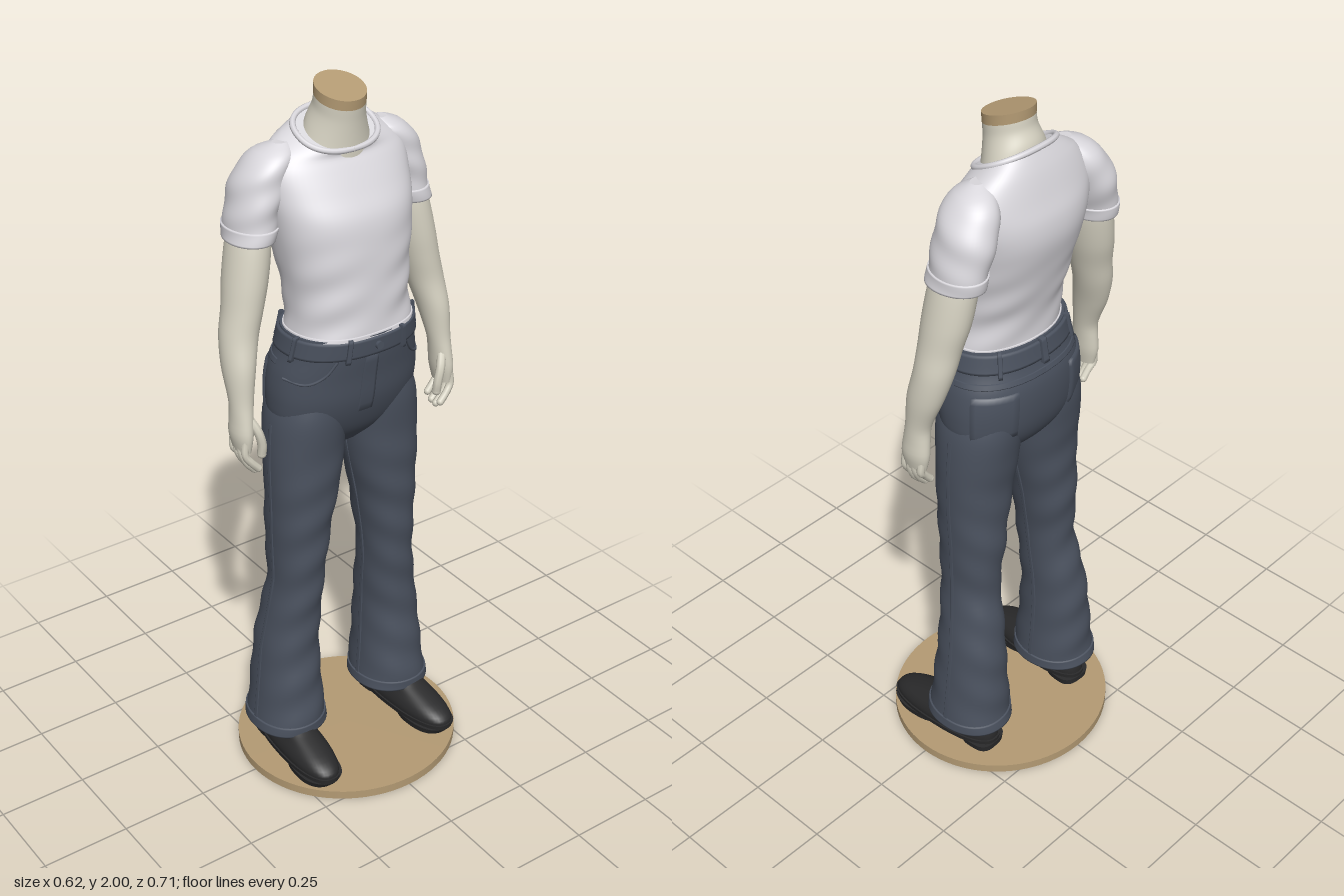
import * as THREE from 'three';

const mat = (name, color) => Object.assign(new THREE.MeshStandardMaterial({ color }), { name });

// Smooth surface through rings [y, cx, cz, rx, rz, tilt], listed from the bottom up
function surface(rings, power = 2, wrinkle = () => 0) {
  const params = (y) => {
    let i = 0;
    while (i < rings.length - 2 && y > rings[i + 1][0]) i++;
    const a = rings[i], b = rings[i + 1], h = b[0] - a[0];
    const u = THREE.MathUtils.clamp((y - a[0]) / h, 0, 1);
    const slope = (k, c) => {
      const p = rings[Math.max(k - 1, 0)], n = rings[Math.min(k + 1, rings.length - 1)];
      return ((n[c] ?? 0) - (p[c] ?? 0)) / (n[0] - p[0]);
    };
    return [1, 2, 3, 4, 5].map((c) => {
      const u2 = u * u, u3 = u2 * u;
      return (2 * u3 - 3 * u2 + 1) * (a[c] ?? 0) + (u3 - 2 * u2 + u) * h * slope(i, c)
        + (3 * u2 - 2 * u3) * (b[c] ?? 0) + (u3 - u2) * h * slope(i + 1, c);
    });
  };
  const round = (v) => Math.sign(v) * Math.abs(v) ** (2 / power);
  const point = (y, t, off = 0) => {
    const [cx, cz, rx, rz, tilt] = params(y), d = off + wrinkle(y, t);
    const x = (rx + d) * round(Math.cos(t));
    return new THREE.Vector3(cx + x, y + tilt * x, cz + (rz + d) * round(Math.sin(t)));
  };
  return { point, y0: rings[0][0], y1: rings[rings.length - 1][0] };
}

function gridGeometry(rows, closed) {
  const w = rows[0].length, pos = rows.flat().flatMap((p) => p.toArray()), idx = [];
  for (let i = 0; i < rows.length - 1; i++) {
    for (let j = 0; j < (closed ? w : w - 1); j++) {
      const k = (j + 1) % w, a = i * w + j, b = i * w + k;
      idx.push(a, a + w, b, b, a + w, b + w);
    }
  }
  if (closed === 'capped') {
    for (const [row, top] of [[rows[0], false], [rows[rows.length - 1], true]]) {
      const c = new THREE.Vector3(), s = pos.length / 3;
      row.forEach((p) => { c.addScaledVector(p, 1 / w); pos.push(...p.toArray()); });
      pos.push(...c.toArray());
      for (let j = 0; j < w; j++) {
        const a = s + j, b = s + (j + 1) % w;
        idx.push(s + w, ...(top ? [b, a] : [a, b]));
      }
    }
  }
  const g = new THREE.BufferGeometry();
  g.setAttribute('position', new THREE.Float32BufferAttribute(pos, 3));
  g.setIndex(idx);
  g.computeVertexNormals();
  return g;
}

function solid(s, steps = 24, sides = 48) {
  const rows = [];
  for (let i = 0; i <= steps; i++) {
    const y = s.y0 + (s.y1 - s.y0) * i / steps;
    rows.push(Array.from({ length: sides }, (_, j) => s.point(y, j / sides * Math.PI * 2)));
  }
  return gridGeometry(rows, 'capped');
}

// Raised strip of cloth lying on a surface, with its border turned in
function patch(s, y0, y1, t0, t1, off = 0.005) {
  const full = t1 - t0 > 6.28, nx = full ? 48 : 10, ny = 10, rows = [];
  const f = (i, n) => THREE.MathUtils.clamp((i - 1) / (n - 2), 0, 1);
  for (let i = 0; i <= ny; i++) {
    const row = [];
    for (let j = 0; j < (full ? nx : nx + 1); j++) {
      const edge = i === 0 || i === ny || (!full && (j === 0 || j === nx));
      const t = full ? t0 + (t1 - t0) * j / nx : t0 + (t1 - t0) * f(j, nx);
      row.push(s.point(y0 + (y1 - y0) * f(i, ny), t, edge ? -0.004 : off));
    }
    rows.push(row);
  }
  return gridGeometry(rows, full);
}

const tube = (pts, r, n = 16) => new THREE.TubeGeometry(
  new THREE.CatmullRomCurve3(pts.map((p) => (p.isVector3 ? p : new THREE.Vector3(...p)))), n, r, 8);

export function createModel() {
  const model = new THREE.Group();
  const tan = mat('tan', 0xb49b74), skin = mat('pale skin', 0xd6d2c2), shirt = mat('white cotton', 0xd9d7dc);
  const denim = mat('blue denim', 0x4a515e), leather = mat('black leather', 0x2a2a2b);
  const add = (name, geo, m, parent = model) => {
    const mesh = new THREE.Mesh(geo, m);
    mesh.name = name;
    parent.add(mesh);
    return mesh;
  };
  const PI = Math.PI, TAU = PI * 2;

  // Stand
  const stand = add('standDisc', new THREE.CylinderGeometry(0.31, 0.31, 0.025, 72), tan);
  stand.position.y = 0.0125;
  stand.scale.z = 1.04;

  // Shirt body, collar and hem
  const torso = surface([
    [1.35, 0.003, 0, 0.132, 0.176], [1.42, 0, 0, 0.13, 0.167], [1.5, -0.01, 0, 0.136, 0.172],
    [1.6, -0.025, 0, 0.145, 0.188], [1.68, -0.04, 0, 0.148, 0.2], [1.74, -0.055, 0, 0.131, 0.208],
    [1.8, -0.064, 0, 0.104, 0.205], [1.845, -0.06, 0, 0.086, 0.17, -0.25], [1.872, -0.047, 0, 0.078, 0.115, -0.48],
  ], 2.3, (y, t) => 0.003 * Math.sin(y * 60 + 3 * t) * Math.sin(t * 2) * THREE.MathUtils.smoothstep(1.7 - y, 0, 0.25));
  add('shirtBody', solid(torso, 44, 64), shirt);
  add('shirtHem', patch(torso, 1.355, 1.375, 0, TAU, 0.003), shirt);
  add('shirtCollar', tube(Array.from({ length: 25 }, (_, i) => torso.point(1.872, i / 24 * TAU, -0.002)), 0.008, 64), shirt);

  // Neck and its cut top
  const neck = surface([
    [1.83, -0.045, 0, 0.075, 0.1, -0.48], [1.88, -0.04, 0, 0.071, 0.083, -0.46],
    [1.925, -0.031, 0, 0.065, 0.068, -0.36], [1.956, -0.027, 0, 0.065, 0.065, -0.28],
  ]);
  add('neck', solid(neck), skin);
  add('neckCap', solid(surface([[1.956, -0.027, 0, 0.0655, 0.0655, -0.28], [1.982, -0.026, 0, 0.067, 0.065, -0.28]]), 2), tan);

  // Trouser seat, waistband and fly
  const seat = surface([
    [1.0, -0.03, 0, 0.04, 0.06], [1.05, -0.032, 0, 0.09, 0.15], [1.1, -0.032, 0, 0.118, 0.205],
    [1.17, -0.027, 0, 0.137, 0.217], [1.25, -0.021, 0, 0.143, 0.21], [1.31, -0.008, 0, 0.14, 0.193], [1.37, 0, 0, 0.137, 0.181],
  ], 2.25);
  add('trouserSeat', solid(seat, 30, 64), denim);
  add('waistband', patch(seat, 1.315, 1.365, 0, TAU, 0.006), denim);
  add('fly', patch(seat, 1.14, 1.315, -0.02, 0.14, 0.004), denim);
  const button = add('waistButton', new THREE.CylinderGeometry(0.011, 0.011, 0.008, 16), denim);
  button.position.set(0.146, 1.342, 0);
  button.rotation.z = PI / 2;
  for (const t of [0.4, 1.35, 2.45, PI, -0.4, -1.35, -2.45]) {
    add('beltLoop', patch(seat, 1.305, 1.372, t - 0.035, t + 0.035, 0.013), denim);
  }

  for (const s of [1, -1]) {
    const side = new THREE.Group();
    side.name = s > 0 ? 'leftSide' : 'rightSide';
    model.add(side);
    const rings = (list) => list.map(([y, x, z, ...r]) => [y, x, z * s, ...r]);
    const strip = (surf, y0, y1, a, b, off) => patch(surf, y0, y1, s > 0 ? a : -b, s > 0 ? b : -a, off);

    // Sleeve
    const sleeve = surface(rings([
      [1.625, -0.08, 0.243, 0.078, 0.061], [1.7, -0.085, 0.227, 0.084, 0.064], [1.76, -0.085, 0.207, 0.083, 0.07],
      [1.81, -0.079, 0.188, 0.072, 0.062], [1.842, -0.072, 0.168, 0.052, 0.046], [1.86, -0.068, 0.15, 0.02, 0.02],
    ]), 2, (y, t) => 0.002 * Math.sin(y * 70 + 2 * t * s));
    add('sleeve', solid(sleeve, 26), shirt, side);
    add('sleeveCuff', patch(sleeve, 1.625, 1.66, 0, TAU, 0.004), shirt, side);

    // Arm, palm and fingers
    add('arm', solid(surface(rings([
      [1.075, -0.008, 0.327, 0.036, 0.018], [1.12, -0.01, 0.327, 0.044, 0.027], [1.16, -0.012, 0.324, 0.041, 0.028],
      [1.21, -0.016, 0.32, 0.037, 0.031], [1.3, -0.036, 0.312, 0.052, 0.042], [1.38, -0.054, 0.297, 0.056, 0.05],
      [1.45, -0.06, 0.28, 0.06, 0.053], [1.52, -0.068, 0.265, 0.067, 0.057], [1.6, -0.075, 0.25, 0.068, 0.056], [1.66, -0.08, 0.24, 0.064, 0.05],
    ])), 40, 32), skin, side);
    const digit = (name, pts, r) => {
      add(name, tube(pts.map(([x, y, z]) => [x, y, z * s]), r), skin, side);
      const [x, y, z] = pts[pts.length - 1];
      add(name + 'Tip', new THREE.SphereGeometry(r, 10, 8), skin, side).position.set(x, y, z * s);
    };
    for (let i = 0; i < 4; i++) {
      const x = -0.037 + i * 0.019, drop = [0.02, 0.004, 0, 0.012][i];
      digit('finger', [[x, 1.11, 0.333], [x + 0.002, 1.07, 0.336], [x + 0.005, 1.035 + drop, 0.322], [x + 0.006, 1.01 + drop, 0.3]], 0.0105);
    }
    digit('thumb', [[0.008, 1.17, 0.315], [0.026, 1.13, 0.298], [0.028, 1.09, 0.288], [0.024, 1.06, 0.287]], 0.0125);

    // Flared trouser leg with seams and hem
    const leg = surface(rings([
      [0.115, -0.048, 0.18, 0.121, 0.107], [0.25, -0.05, 0.178, 0.111, 0.094], [0.4, -0.05, 0.172, 0.099, 0.084],
      [0.5, -0.04, 0.162, 0.092, 0.078], [0.6, -0.029, 0.153, 0.087, 0.073], [0.7, -0.03, 0.147, 0.094, 0.08],
      [0.8, -0.028, 0.14, 0.097, 0.089], [0.92, -0.025, 0.128, 0.101, 0.103], [1.02, -0.029, 0.121, 0.108, 0.109],
      [1.12, -0.03, 0.113, 0.118, 0.106], [1.2, -0.03, 0.1, 0.115, 0.09],
    ]), 2.15, (y, t) => 0.003 * Math.sin(y * 48 + 2 * t * s) * Math.cos(t) * THREE.MathUtils.smoothstep(1.1 - y, 0, 0.3));
    add('trouserLeg', solid(leg, 60), denim, side);
    add('trouserHem', patch(leg, 0.115, 0.145, 0, TAU, 0.004), denim, side);
    add('outerSeam', strip(leg, 0.14, 1.1, PI / 2 - 0.04, PI / 2 + 0.04, 0.003), denim, side);
    add('innerSeam', strip(leg, 0.14, 0.98, -PI / 2 - 0.04, -PI / 2 + 0.04, 0.003), denim, side);

    // Pockets
    add('backPocket', strip(seat, 1.12, 1.255, 1.95, 2.72, 0.006), denim, side);
    add('backYoke', strip(seat, 1.275, 1.29, 1.65, PI, 0.003), denim, side);
    add('frontPocketEdge', tube([[1.312, 0.55], [1.27, 0.68], [1.245, 0.95], [1.25, 1.4]]
      .map(([y, t]) => seat.point(y, t * s, 0.001)), 0.004), denim, side);

    // Shoe with sole, heel and welt
    const shoe = new THREE.Group();
    shoe.name = 'shoe';
    shoe.position.z = 0.192 * s;
    shoe.rotation.y = -0.06 * s;
    side.add(shoe);
    add('shoeUpper', solid(surface([
      [0.05, 0.034, 0, 0.183, 0.061], [0.07, 0.033, 0, 0.182, 0.063], [0.09, 0.02, 0, 0.165, 0.058],
      [0.105, 0.003, 0, 0.138, 0.051], [0.13, -0.03, 0, 0.095, 0.045], [0.16, -0.045, 0, 0.08, 0.042],
    ], 2.4), 16), leather, shoe);
    add('shoeSole', solid(surface([[0.042, 0.034, 0, 0.186, 0.064], [0.058, 0.034, 0, 0.188, 0.067]], 2.4), 2), leather, shoe);
    add('foreSole', solid(surface([[0.024, 0.115, 0, 0.09, 0.06], [0.045, 0.118, 0, 0.1, 0.064]], 2.4), 2), leather, shoe);
    add('shoeHeel', solid(surface([[0.024, -0.1, 0, 0.052, 0.05], [0.045, -0.1, 0, 0.054, 0.054]], 3), 2), leather, shoe);
  }
  return model;
}
